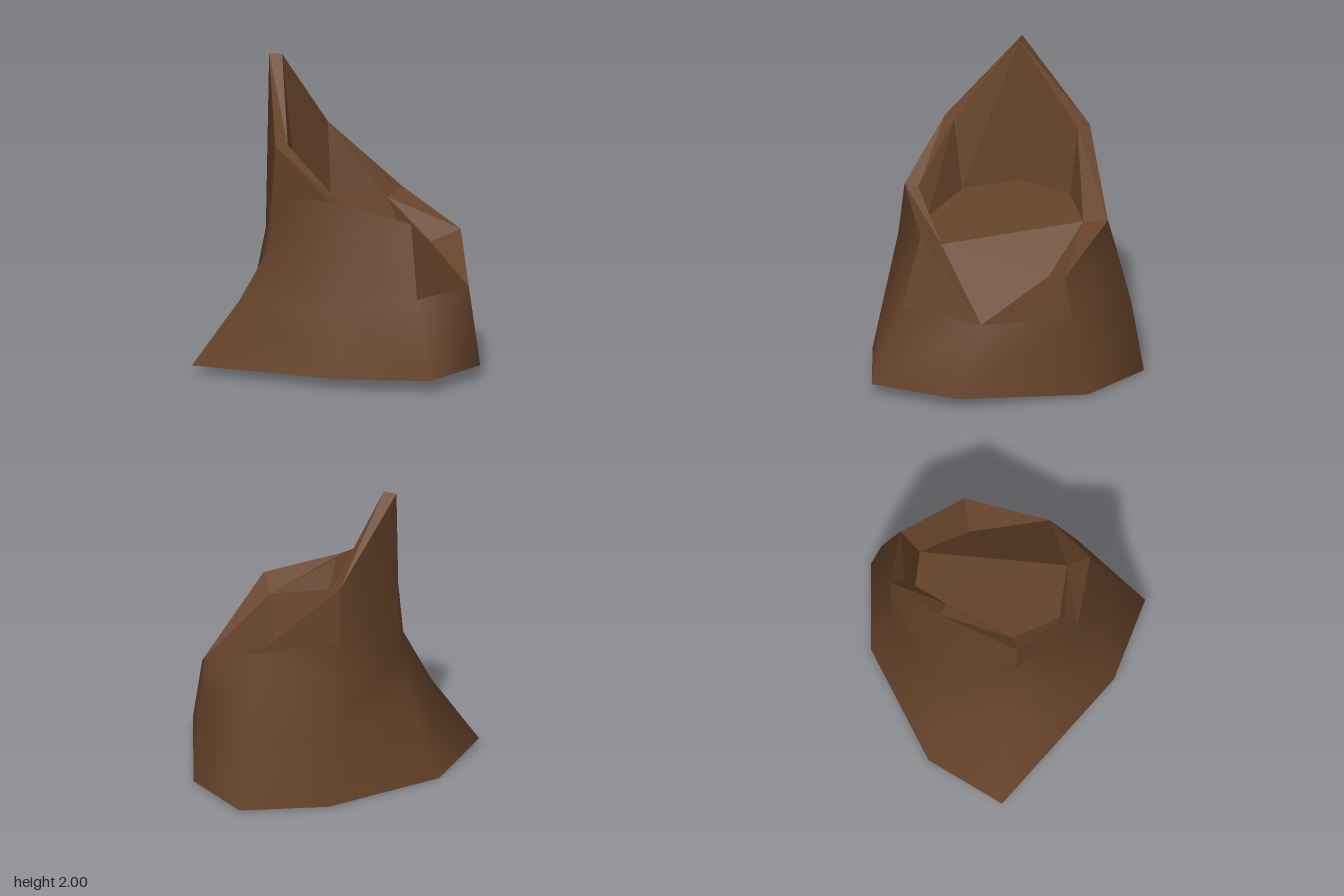
import * as THREE from 'three';

const wood = new THREE.MeshStandardMaterial({ color: 0x66432a, side: THREE.DoubleSide });
wood.name = 'bark brown';

// Eight bark columns, each running from the ground [x, y, z] up to the broken rim
const columns = [
  [[-0.93, 0.05, -0.65], [-0.69, 0.47, -0.46], [-0.56, 0.8, -0.33], [-0.54, 1.17, -0.3], [-0.54, 1.49, -0.28]],
  [[-0.41, 0, -0.88], [-0.29, 0.5, -0.74], [-0.23, 0.85, -0.7], [-0.22, 2, -0.68]],
  [[0.43, 0.01, -0.79], [0.35, 0.5, -0.745], [0.3, 0.85, -0.73], [0.29, 1.1, -0.73], [0.29, 1.49, -0.73]],
  [[0.92, 0.015, -0.48], [0.84, 0.49, -0.45], [0.75, 0.83, -0.42], [0.69, 1.04, -0.4]],
  [[0.87, 0.02, 0.05], [0.78, 0.55, 0.1], [0.73, 0.83, 0.11]],
  [[0.33, 0.08, 0.72], [0.39, 0.56, 0.55]],
  [[-0.25, 0.08, 0.87], [-0.17, 0.57, 0.66], [-0.11, 1.04, 0.54]],
  [[-0.6, 0.07, 0.41], [-0.56, 0.5, 0.31], [-0.52, 0.85, 0.24], [-0.5, 1.19, 0.2]],
];
// Inner edge of the rim and the hollow's floor
const inner = [
  [-0.45, 1.49, -0.26], [-0.18, 2, -0.6], [0.26, 1.49, -0.64], [0.52, 1, -0.36],
  [0.54, 0.76, 0.03], [0.39, 0.56, 0.55], [-0.05, 0.955, 0.4], [-0.41, 1.18, 0.17],
];
const floor = inner.map((p) => [...p]);
floor[0] = [-0.37, 1.03, -0.24];
floor[1] = [-0.13, 1.05, -0.54];
floor[2] = [0.24, 1.03, -0.59];
floor[7] = [-0.34, 0.985, 0.16];
const rim = columns.map((c) => c[c.length - 1]);

// Sides that end in a splintered chip, with the column whose top stands proud
const chips = { 2: 2, 4: 4, 5: 6, 7: 0 };

function flatMesh(name, triangles) {
  const solid = triangles.filter(([a, b, c]) => {
    const [p, q, r] = [a, b, c].map((v) => new THREE.Vector3(...v));
    return q.sub(p).cross(r.sub(p)).length() > 1e-6;
  });
  const g = new THREE.BufferGeometry();
  g.setAttribute('position', new THREE.Float32BufferAttribute(solid.flat(2), 3));
  g.computeVertexNormals();
  const mesh = new THREE.Mesh(g, wood);
  mesh.name = name;
  return mesh;
}

// Band of triangles between two closed eight-point loops
function band(low, high) {
  return low.flatMap((a, i) => {
    const j = (i + 1) % 8;
    return [[low[j], a, high[i]], [low[j], high[i], high[j]]];
  });
}

// Smooth flared bark, open underneath
function makeBark() {
  const points = columns.flat();
  const start = columns.map((_, i) => columns.slice(0, i).flat().length);
  const index = [];
  for (let i = 0; i < 8; i++) {
    const j = (i + 1) % 8;
    const a = columns[i], b = columns[j];
    const endA = a.length - 1 - (chips[i] === i ? 1 : 0);
    const endB = b.length - 1 - (chips[i] === j ? 1 : 0);
    let m = 0, n = 0;
    // climb both columns, always stepping the lower one
    while (m < endA || n < endB) {
      const stepA = n === endB || (m < endA && a[m + 1][1] <= b[n + 1][1]);
      index.push(start[j] + n, start[i] + m);
      index.push(stepA ? start[i] + ++m : start[j] + ++n);
    }
  }
  const g = new THREE.BufferGeometry();
  g.setAttribute('position', new THREE.Float32BufferAttribute(points.flat(), 3));
  g.setIndex(index);
  g.computeVertexNormals();
  const mesh = new THREE.Mesh(g, wood);
  mesh.name = 'bark';
  return mesh;
}

export function createModel() {
  const stump = new THREE.Group();
  stump.name = 'brokenStump';
  stump.add(makeBark());

  // Flat splintered faces between uneven columns
  const splinters = Object.entries(chips).map(([side, tall]) => {
    const i = Number(side), j = (i + 1) % 8;
    const below = columns[tall][columns[tall].length - 2];
    return tall === i ? [rim[j], below, rim[i]] : [below, rim[i], rim[j]];
  });
  stump.add(flatMesh('splinters', splinters));

  // Broken rim, hollow wall and floor
  stump.add(flatMesh('rim', band(rim, inner)));
  stump.add(flatMesh('hollowWall', band(inner, floor)));
  stump.add(flatMesh('hollowFloor', floor.map((p, i) => [floor[(i + 1) % 8], p, floor[6]])));
  return stump;
}
